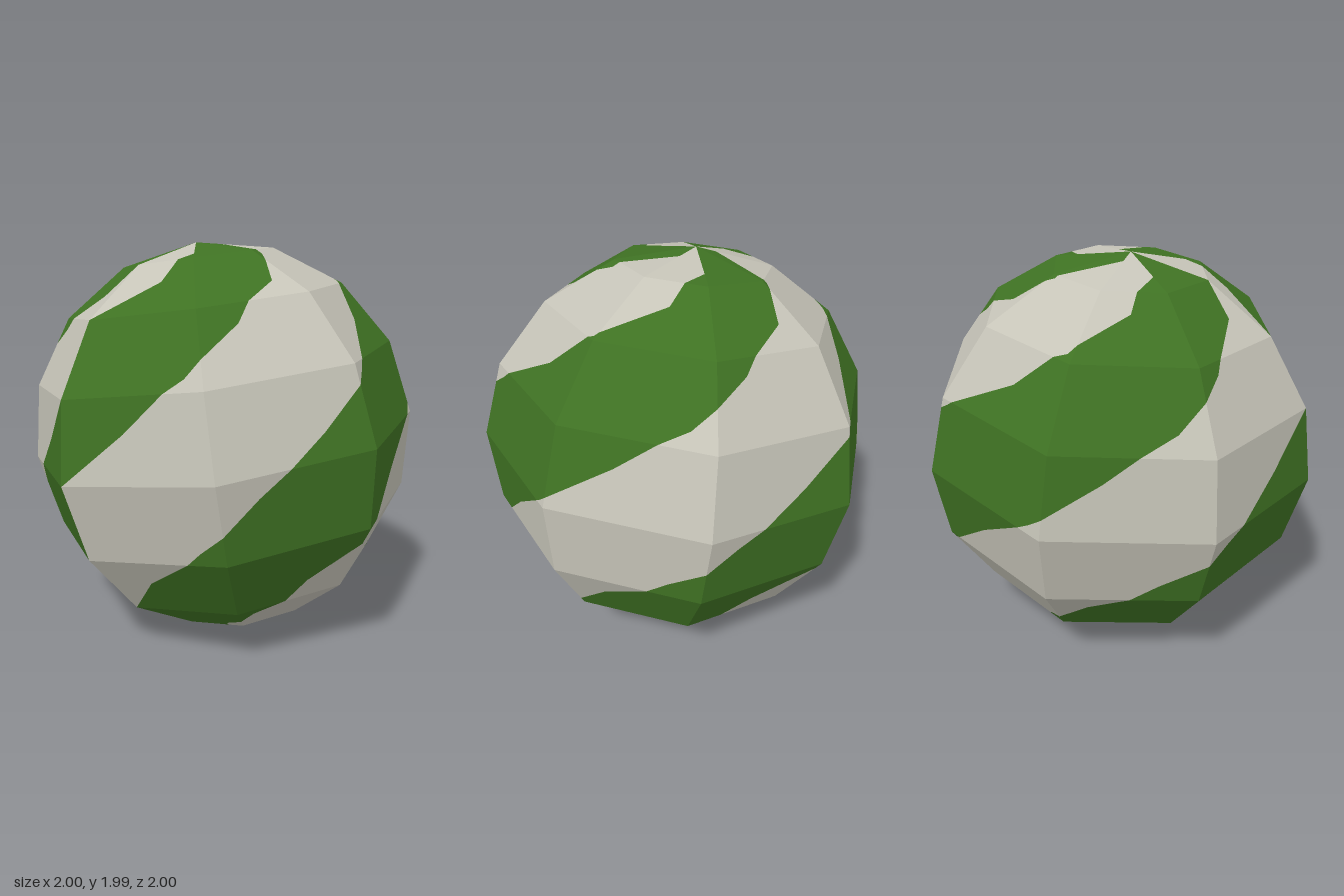
import * as THREE from 'three';

const RADIUS = 1.004;

// Stripe coordinate: each whole number starts a new band, odd bands are green
const stripe = (u, v) => 4 * (1 - v) + 5.5 * u;

// Keep the part of a polygon where sign * (t - limit) >= 0
function clip(poly, limit, sign) {
  const out = [];
  poly.forEach((a, n) => {
    const b = poly[(n + 1) % poly.length];
    const da = sign * (a.t - limit), db = sign * (b.t - limit);
    if (da >= 0) out.push(a);
    if ((da > 1e-9 && db < -1e-9) || (da < -1e-9 && db > 1e-9)) {
      out.push({ p: a.p.clone().lerp(b.p, da / (da - db)), t: limit });
    }
  });
  return out;
}

// Cut every facet of the ball along the stripe borders
function cutBall() {
  const ball = new THREE.SphereGeometry(RADIUS, 8, 8, Math.PI / 2);
  const { position, uv } = ball.attributes;
  const points = [[], []];
  const index = ball.index.array;
  for (let f = 0; f < index.length; f += 3) {
    const tri = [0, 1, 2].map((n) => {
      const i = index[f + n];
      return {
        p: new THREE.Vector3().fromBufferAttribute(position, i),
        t: stripe(uv.getX(i), uv.getY(i)),
      };
    });
    const ts = tri.map((c) => c.t);
    for (let k = Math.floor(Math.min(...ts)); k < Math.max(...ts); k++) {
      const poly = clip(clip(tri, k, 1), k + 1, -1);
      for (let n = 1; n + 1 < poly.length; n++) {
        for (const c of [poly[0], poly[n], poly[n + 1]]) points[k & 1].push(...c.p.toArray());
      }
    }
  }
  return points.map((list) => {
    const geometry = new THREE.BufferGeometry();
    geometry.setAttribute('position', new THREE.Float32BufferAttribute(list, 3));
    geometry.computeVertexNormals(); // unshared corners give flat facets
    return geometry;
  });
}

export function createModel() {
  const paleGrey = new THREE.MeshStandardMaterial({ name: 'paleGrey', color: 0xc6c4b8 });
  const leafGreen = new THREE.MeshStandardMaterial({ name: 'leafGreen', color: 0x3f7223 });

  const [greyGeometry, greenGeometry] = cutBall();
  const greyStripes = new THREE.Mesh(greyGeometry, paleGrey);
  greyStripes.name = 'greyStripes';
  const greenStripes = new THREE.Mesh(greenGeometry, leafGreen);
  greenStripes.name = 'greenStripes';

  // The ball leans slightly to one side and forward
  const ball = new THREE.Group();
  ball.name = 'stripedBall';
  ball.add(greyStripes, greenStripes);
  ball.rotation.set(0.09, 0.038, 0.09);
  ball.position.y = 0.997;

  const model = new THREE.Group();
  model.name = 'model';
  model.add(ball);
  return model;
}
